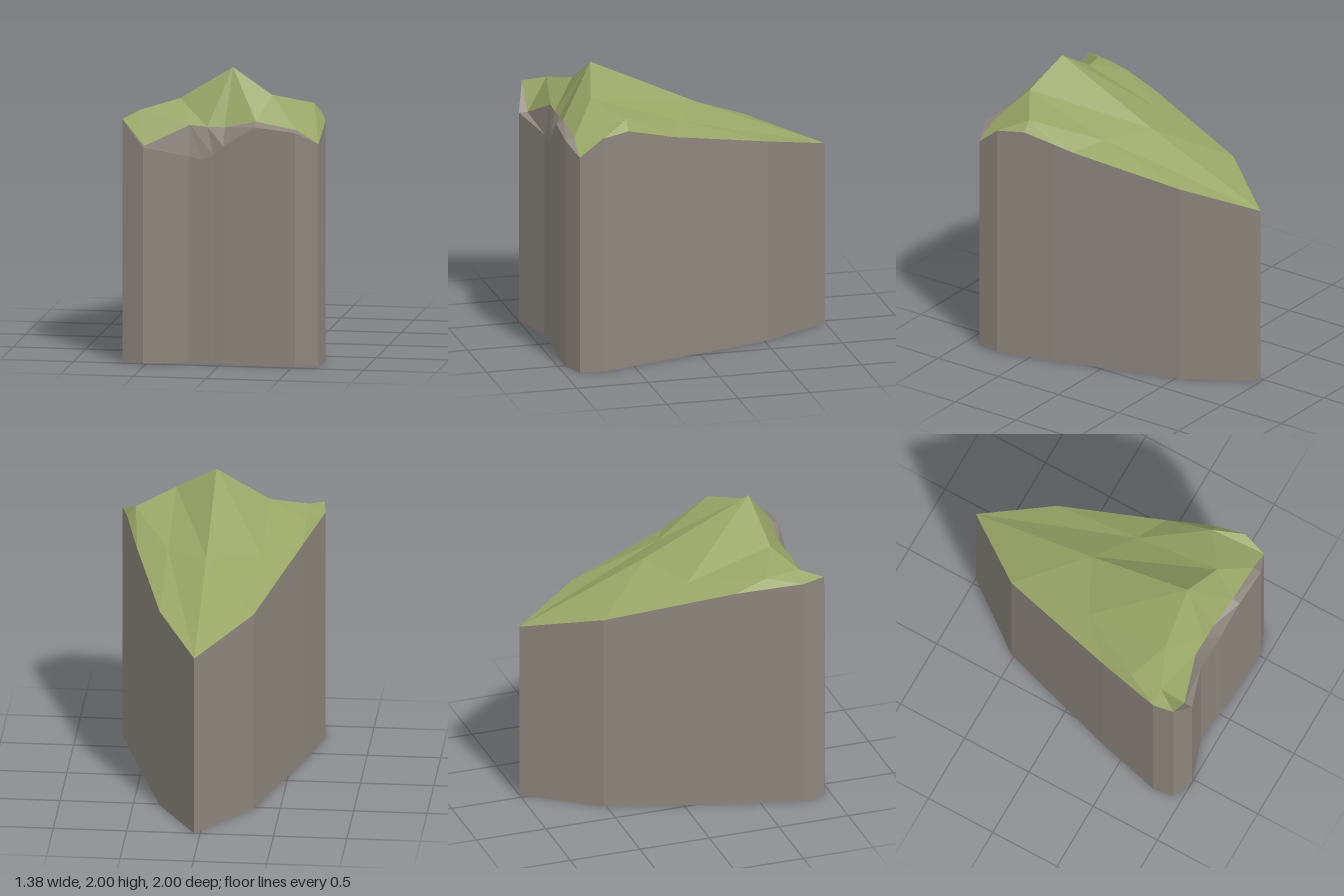
import * as THREE from 'three';

const rockMaterial = new THREE.MeshStandardMaterial({ color: 0x8c857c, flatShading: true });
const grassMaterial = new THREE.MeshStandardMaterial({ color: 0x98a566, flatShading: true });

// Raised turf: front crest (with the peak) and the lower break line behind it, left to right in x
const crest = [[-0.58, 1.71, 0.79], [-0.32, 1.78, 0.68], [0.04, 2, 0.65], [0.32, 1.83, 0.72], [0.58, 1.75, 0.54]];
const back = [[-0.58, 1.68, 0.56], [-0.32, 1.6, 0.08], [0.04, 1.65, -0.1], [0.32, 1.62, 0.1], [0.58, 1.75, 0.54]];

// Around the cliff from the back tip: rock rim, turf point above it, turf edge where it is set back
const columns = [
  [[0.04, 1.28, -1], back[2]],
  [[0.32, 1.42, -0.52], back[3]],
  [[0.54, 1.58, 0.2], back[3]],
  [[0.58, 1.62, 0.33], crest[4]],
  [[0.64, 1.68, 0.54], crest[4]],
  [[0.69, 1.66, 0.73], crest[4]],
  [[0.67, 1.53, 0.89], crest[4]],
  [[0.52, 1.61, 0.95], crest[4], [0.52, 1.62, 0.89]],
  [[0.24, 1.64, 0.94], crest[3], [0.24, 1.67, 0.89]],
  [[0.02, 1.5, 0.92], crest[2], [0.02, 1.62, 0.86]],
  [[-0.05, 1.43, 0.91], crest[2], [-0.1, 1.62, 0.86]],
  [[-0.13, 1.4, 0.905], crest[1], [-0.22, 1.63, 0.86]],
  [[-0.22, 1.42, 0.9], crest[1], [-0.22, 1.63, 0.86]],
  [[-0.52, 1.49, 1], crest[0], [-0.52, 1.49, 0.94]],
  [[-0.67, 1.67, 0.94], crest[0]],
  [[-0.69, 1.65, 0.79], crest[0]],
  [[-0.58, 1.6, 0.34], back[0]],
  [[-0.32, 1.42, -0.52], back[1]],
];

// Triangles between two rows of points, skipping collapsed ones
function strip(lower, upper, closed) {
  const out = [];
  const add = (a, b, c) => {
    const same = (p, q) => p.every((v, k) => v === q[k]);
    if (!same(a, b) && !same(b, c) && !same(a, c)) out.push(...a, ...b, ...c);
  };
  const n = lower.length;
  for (let i = 0; i < (closed ? n : n - 1); i++) {
    const j = (i + 1) % n;
    add(lower[i], upper[i], upper[j]);
    add(lower[i], upper[j], lower[j]);
  }
  return out;
}

function facetedMesh(name, material, ...strips) {
  const geometry = new THREE.BufferGeometry();
  geometry.setAttribute('position', new THREE.Float32BufferAttribute(strips.flat(), 3));
  geometry.computeVertexNormals();
  const mesh = new THREE.Mesh(geometry, material);
  mesh.name = name;
  return mesh;
}

export function createModel() {
  const group = new THREE.Group();
  group.name = 'grassyCliff';

  const rim = columns.map((c) => c[0]);
  const turf = columns.map((c) => c[1]);
  const edge = columns.map((c) => c[2] ?? c[0]);
  const foot = rim.map(([x, , z]) => [x, 0, z]);
  const centre = foot.map(() => [0, 0, 0.4]);

  // Rock: underside, upright walls and the bare ledge at the front
  group.add(facetedMesh('rockCliff', rockMaterial,
    strip(centre, foot, true), strip(foot, rim, true), strip(rim, edge, true)));

  // Turf: slopes rising from the rim, then the raised top
  group.add(facetedMesh('grassCap', grassMaterial,
    strip(edge, turf, true), strip(back, crest, false)));

  return group;
}
